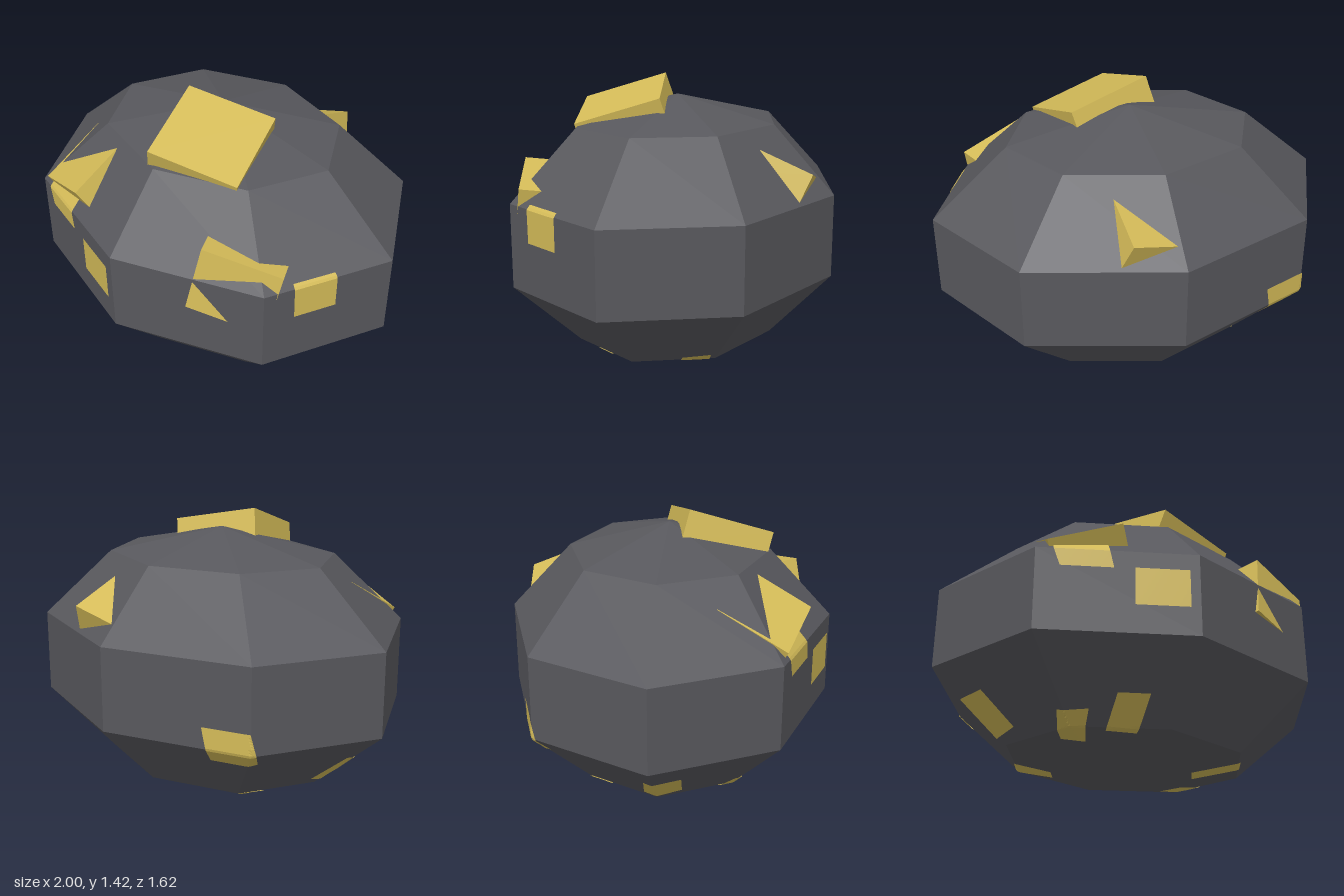
import * as THREE from 'three';

const DEPTH = 0.81; // squash of the body along z
const MID = 0.665;  // height of the widest band's middle
const gem = new THREE.MeshStandardMaterial({ color: 0x58585d });
gem.name = 'dark grey';
gem.flatShading = true;
const gold = new THREE.MeshStandardMaterial({ color: 0xd4bb58 });
gold.name = 'gold';
gold.flatShading = true;
gold.side = THREE.DoubleSide;

const V = (a) => new THREE.Vector3(...a);

// Push a point radially onto the faceted body, a hair above its surface
function toSurface(p) {
  const q = p.clone();
  q.y -= MID;
  let rho = 0;
  for (let k = 0; k < 8; k++) {
    const a = (k + 0.5) * Math.PI / 4;
    rho = Math.max(rho, (q.x * Math.cos(a) + q.z / DEPTH * Math.sin(a)) / Math.cos(Math.PI / 8));
  }
  const h = Math.abs(q.y);
  const g = Math.max(rho, (0.33 * rho + 0.38 * h) / 0.4079, (0.13 * rho + 0.62 * h) / 0.4123);
  q.multiplyScalar(1.006 / g);
  q.y += MID;
  return q;
}

// Thin patch between four corners that follows the body's facets
function patch(name, corners) {
  const [a, b, c, d] = corners.map(V);
  const geo = new THREE.PlaneGeometry(1, 1, 14, 14);
  const pos = geo.attributes.position;
  for (let i = 0; i < pos.count; i++) {
    const s = pos.getX(i) + 0.5, t = pos.getY(i) + 0.5;
    const p = toSurface(a.clone().lerp(b, s).lerp(d.clone().lerp(c, s), t));
    pos.setXYZ(i, p.x, p.y, p.z);
  }
  geo.computeVertexNormals();
  const mesh = new THREE.Mesh(geo, gold);
  mesh.name = name;
  return mesh;
}

// Box hung from one outer corner: u and v run along its face, thickness goes inward
function slab(name, corner, uDir, vDir, w, d, t) {
  const u = V(uDir).normalize();
  const n = V(vDir).cross(u).normalize();
  const v = u.clone().cross(n);
  const geo = new THREE.BoxGeometry(w, t, d).translate(w / 2, -t / 2, d / 2);
  geo.applyMatrix4(new THREE.Matrix4().makeBasis(u, n, v).setPosition(...corner));
  const mesh = new THREE.Mesh(geo, gold);
  mesh.name = name;
  return mesh;
}

export function createModel() {
  const model = new THREE.Group();
  model.name = 'facetedStone';

  // Eight-sided body
  const profile = [[0, 0], [0.62, 0.13], [1, 0.46], [1, 0.87], [0.62, 1.2], [0, 1.33]]
    .map(([r, y]) => new THREE.Vector2(r, y));
  const bodyGeo = new THREE.LatheGeometry(profile, 8).scale(1, 1, DEPTH).toNonIndexed();
  bodyGeo.computeVertexNormals();
  const body = new THREE.Mesh(bodyGeo, gem);
  body.name = 'body';
  model.add(body);

  // Gold blocks sunk into the upper half
  model.add(
    slab('topBlock', [-0.12, 1.42, 0.11], [0.42, -0.08, -0.13], [0.1, -0.13, 0.41], 0.445, 0.435, 0.15),
    slab('frontRightBlock', [-0.657, 0.914, 0.59], [0.047, 0.176, -0.32], [0.33, 0.12, 0.08], 0.37, 0.36, 0.125),
    slab('frontLeftBlock', [0.413, 1.035, 0.647], [0.34, -0.08, -0.15], [-0.03, -0.31, 0.05], 0.38, 0.33, 0.13),
    slab('backBlock', [0.235, 1.013, -0.754], [0.01, 0.104, 0.257], [-0.215, -0.053, 0.037], 0.36, 0.36, 0.152),
  );

  // Gold patches on the band and the underside
  const patches = {
    upperFrontPatch: [[-0.6, 0.78, 0.61], [-0.37, 0.78, 0.687], [-0.37, 0.96, 0.603], [-0.6, 0.96, 0.527]],
    frontPatch: [[-0.28, 0.6, 0.717], [-0.045, 0.6, 0.795], [-0.045, 0.785, 0.795], [-0.28, 0.785, 0.717]],
    sidePatch: [[0.776, 0.71, 0.44], [0.87, 0.71, 0.255], [0.86, 0.89, 0.252], [0.76, 0.89, 0.435]],
    backPatch: [[-0.7, 0.385, -0.51], [-0.48, 0.385, -0.59], [-0.48, 0.565, -0.65], [-0.705, 0.565, -0.575]],
    lowerFrontPatch: [[-0.28, 0.12, 0.39], [-0.14, 0.12, 0.42], [-0.14, 0.255, 0.573], [-0.28, 0.255, 0.527]],
    lowerCornerPatch: [[-0.43, 0.115, 0.23], [-0.33, 0.1, 0.28], [-0.38, 0.195, 0.437], [-0.505, 0.195, 0.37]],
    lowerSidePatch: [[0.325, 0.075, 0.055], [0.277, 0.074, 0.147], [0.513, 0.135, 0.225], [0.56, 0.13, 0.13]],
    lowerBackLeftPatch: [[0.286, 0.083, -0.225], [0.367, 0.092, -0.14], [0.53, 0.155, -0.22], [0.484, 0.165, -0.348]],
    lowerBackRightPatch: [[-0.29, 0.09, -0.25], [-0.454, 0.135, -0.36], [-0.5, 0.13, -0.237], [-0.334, 0.088, -0.166]],
    lowerRightPatch: [[-0.645, 0.175, -0.06], [-0.63, 0.175, 0.12], [-0.8, 0.33, 0.13], [-0.85, 0.33, -0.04]],
  };
  for (const [name, corners] of Object.entries(patches)) model.add(patch(name, corners));

  return model;
}
